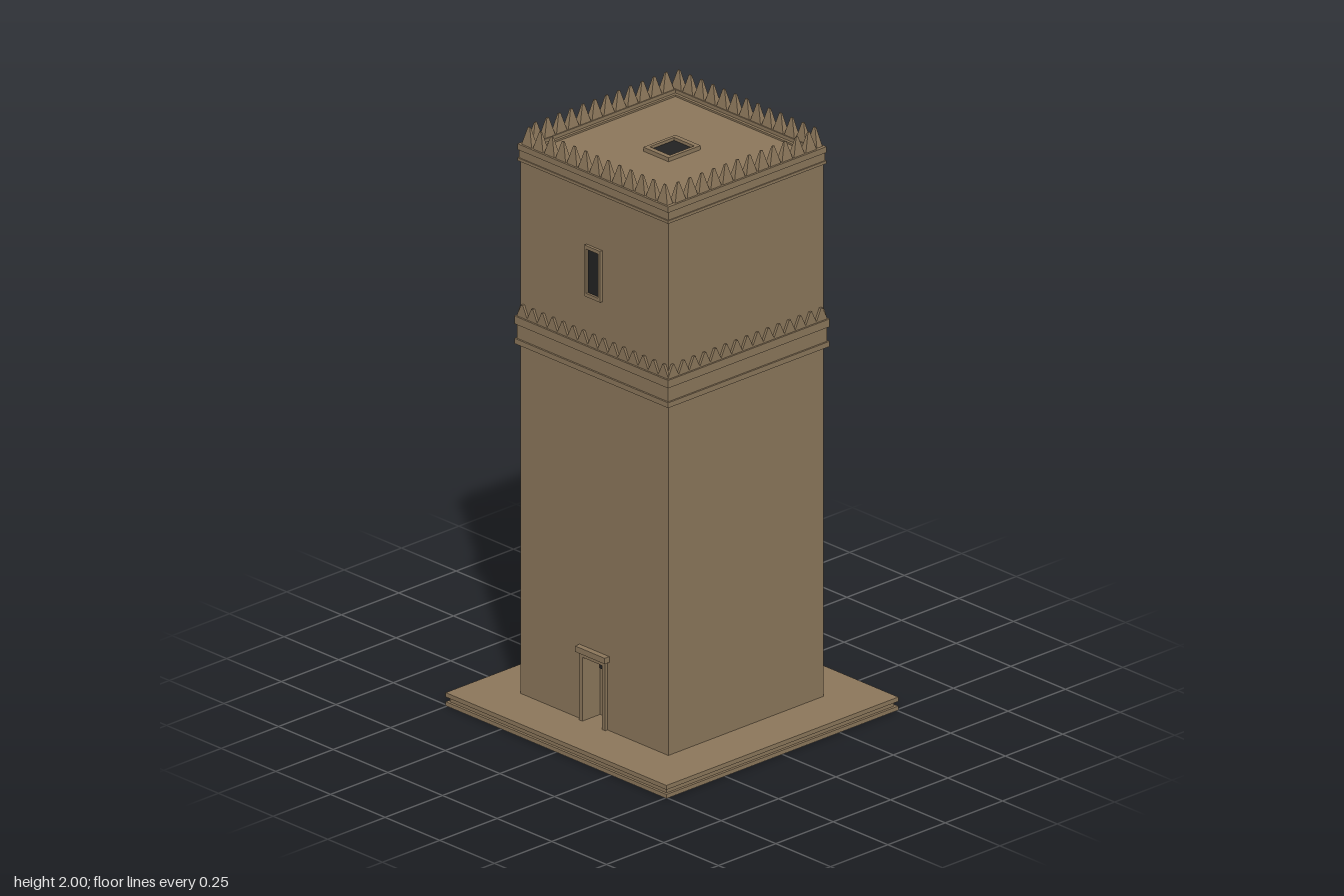
import * as THREE from 'three';

const stone = new THREE.MeshStandardMaterial({ color: 0x8c775b });
stone.name = 'mud brick';
const dark = new THREE.MeshStandardMaterial({ color: 0x222222 });
dark.name = 'dark opening';

const W = 0.338; // half width of the tower

export function createModel() {
  const tower = new THREE.Group();
  tower.name = 'tower';

  const add = (name, geo, parent = tower, mat = stone) => {
    const m = new THREE.Mesh(geo, mat);
    m.name = name;
    parent.add(m);
    return m;
  };
  // box from its min and max corners
  const box = (name, x0, x1, y0, y1, z0, z1, parent, mat) => {
    const m = add(name, new THREE.BoxGeometry(x1 - x0, y1 - y0, z1 - z0), parent, mat);
    m.position.set((x0 + x1) / 2, (y0 + y1) / 2, (z0 + z1) / 2);
    return m;
  };
  const rect = (path, hx, hy) =>
    path.moveTo(-hx, -hy).lineTo(hx, -hy).lineTo(hx, hy).lineTo(-hx, hy).closePath();
  // flat rectangular frame with an opening, extruded by depth along +z
  const frame = (ox, oy, ix, iy, depth) => {
    const s = new THREE.Shape();
    rect(s, ox, oy);
    const h = new THREE.Path();
    rect(h, ix, iy);
    s.holes.push(h);
    return new THREE.ExtrudeGeometry(s, { depth, bevelEnabled: false });
  };
  // square ring lying level between two heights
  const ring = (name, outer, inner, y0, y1) => {
    const g = frame(outer, outer, inner, inner, y1 - y0);
    g.rotateX(-Math.PI / 2);
    add(name, g).position.y = y0;
  };

  // plinth with a groove around its edge
  box('plinthBottom', -0.505, 0.505, 0, 0.014, -0.505, 0.505);
  box('plinthGroove', -0.496, 0.496, 0.014, 0.03, -0.496, 0.496);
  box('plinthTop', -0.505, 0.505, 0.03, 0.045, -0.505, 0.505);

  // shaft: solid core plus a front wall with the doorway cut out
  const roofY = 1.92, backZ = 0.27, doorW = 0.045, doorTop = 0.265;
  box('shaft', -W, W, 0.045, roofY, -W, backZ);
  const wall = new THREE.Shape();
  [[-W, 0.045], [-doorW, 0.045], [-doorW, doorTop], [doorW, doorTop],
    [doorW, 0.045], [W, 0.045], [W, roofY], [-W, roofY]]
    .forEach(([x, y], i) => (i ? wall.lineTo(x, y) : wall.moveTo(x, y)));
  add('frontWall', new THREE.ExtrudeGeometry(wall, { depth: W - backZ, bevelEnabled: false }))
    .position.z = backZ;

  // door surround
  const door = new THREE.Group();
  door.name = 'door';
  tower.add(door);
  for (const s of [-1, 1]) {
    const c = s * 0.0525;
    box('doorJamb', c - 0.0075, c + 0.0075, 0.045, 0.28, W - 0.002, 0.348, door);
  }
  box('doorHead', -doorW, doorW, doorTop, 0.28, W - 0.002, 0.348, door);
  box('doorLintel', -0.068, 0.068, 0.28, 0.3, W - 0.002, 0.358, door);
  box('doorOpening', -doorW, doorW, 0.205, doorTop, backZ, backZ + 0.003, door, dark);

  // window
  const win = new THREE.Group();
  win.name = 'window';
  win.position.set(0, 1.6, W);
  tower.add(win);
  add('windowFrame', frame(0.036, 0.088, 0.028, 0.076, 0.01), win);
  box('windowOpening', -0.028, 0.028, -0.076, 0.076, 0, 0.002, win, dark);

  // moulded middle band
  ring('bandLower', 0.352, W - 0.01, 1.25, 1.268);
  ring('bandMiddle', 0.346, W - 0.01, 1.268, 1.318);
  ring('bandUpper', 0.352, W - 0.01, 1.318, 1.345);

  // moulded crown and low parapet
  ring('crownLower', 0.345, W - 0.01, 1.88, 1.89);
  ring('crownMiddle', 0.341, W - 0.01, 1.89, 1.918);
  ring('crownUpper', 0.345, 0.31, 1.918, 1.938);
  ring('roofBorder', 0.312, 0.3, 1.91, 1.926);

  // zigzag strip above the band, one per side
  const count = 15, half = 0.346, step = (2 * half) / count;
  const zig = new THREE.Shape();
  zig.moveTo(-half, 0);
  for (let i = 0; i < count; i++) {
    const x = -half + i * step;
    zig.lineTo(x, 0.005);
    zig.lineTo(x + step * 0.42, 0.045);
    zig.lineTo(x + step * 0.58, 0.045);
  }
  zig.lineTo(half, 0.005);
  zig.lineTo(half, 0);
  const zigGeo = new THREE.ExtrudeGeometry(zig, { depth: 0.01, bevelEnabled: false });

  // pointed merlons around the roof edge
  const pitch = 0.0517, rowZ = 0.326;
  const tooth = new THREE.CylinderGeometry(0.12, Math.SQRT1_2, 1, 4, 1).toNonIndexed();
  tooth.rotateY(Math.PI / 4);
  tooth.scale(pitch, 0.07, 0.027);
  tooth.computeVertexNormals();

  for (let side = 0; side < 4; side++) {
    const g = new THREE.Group();
    g.name = 'crenellatedSide';
    g.rotation.y = (side * Math.PI) / 2;
    tower.add(g);
    add('zigzagStrip', zigGeo, g).position.set(0, 1.344, W - 0.002);
    const n = side % 2 ? 12 : 13;
    for (let i = 0; i < n; i++)
      add('merlon', tooth, g).position.set((i - (n - 1) / 2) * pitch, 1.965, rowZ);
  }

  // roof hatch
  const hatch = frame(0.058, 0.07, 0.046, 0.053, 0.014);
  hatch.rotateX(-Math.PI / 2);
  add('hatchFrame', hatch).position.y = roofY;
  box('hatchOpening', -0.046, 0.046, roofY, roofY + 0.004, -0.053, 0.053, tower, dark);

  return tower;
}
